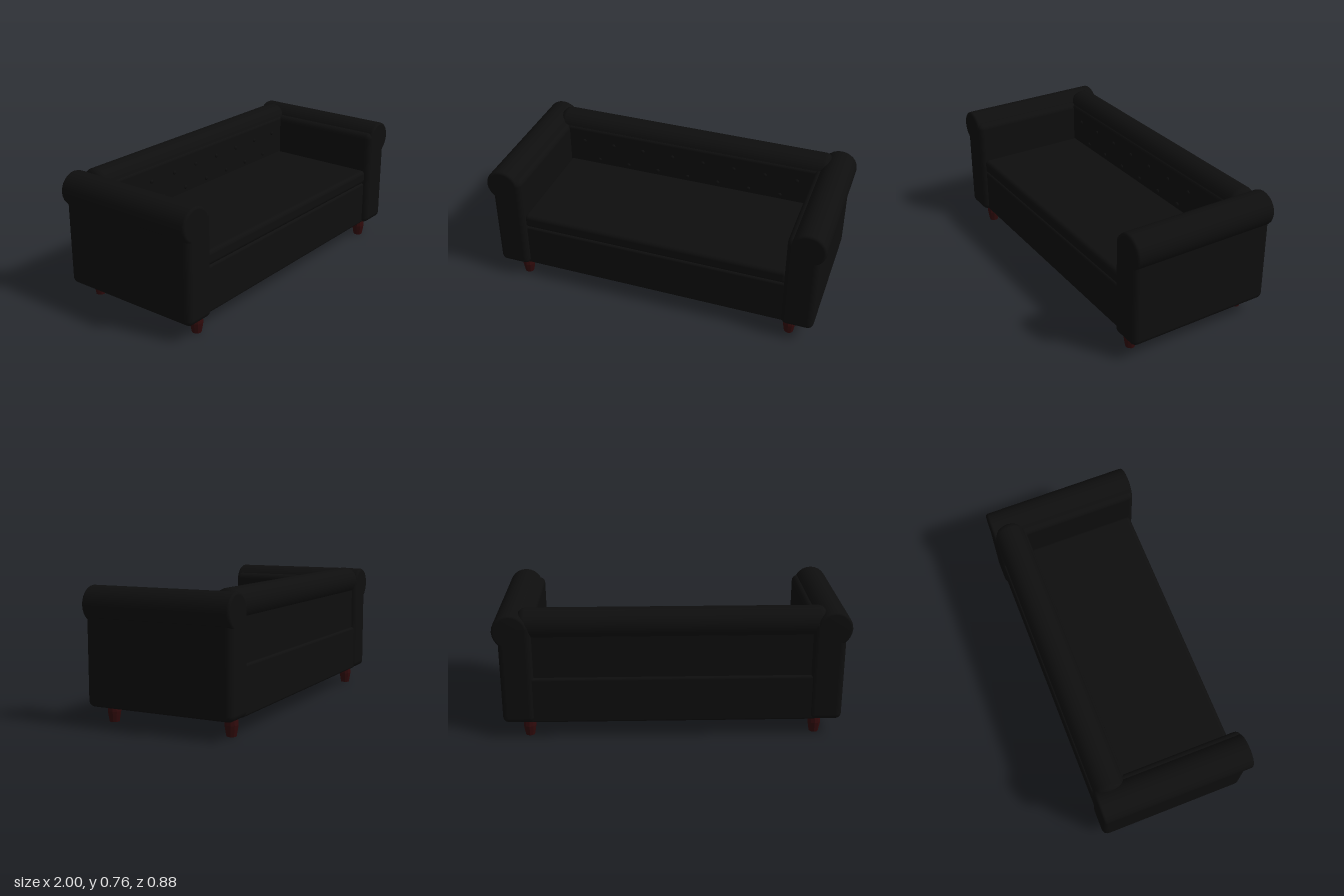
import * as THREE from 'three';
import { RoundedBoxGeometry } from 'three/addons/geometries/RoundedBoxGeometry.js';

export function createModel() {
  const sofa = new THREE.Group();
  sofa.name = 'sofa';
  const leather = new THREE.MeshStandardMaterial({ name: 'black leather', color: 0x0e0e0e });
  const wood = new THREE.MeshStandardMaterial({ name: 'dark red wood', color: 0x300a0b, flatShading: true });

  function add(name, geometry, material, x = 0, y = 0, z = 0) {
    const mesh = new THREE.Mesh(geometry, material);
    mesh.name = name;
    mesh.position.set(x, y, z);
    sofa.add(mesh);
    return mesh;
  }

  // Rounded box given by its minimum and maximum corners
  function pad(name, [x0, y0, z0], [x1, y1, z1], radius) {
    const g = new RoundedBoxGeometry(x1 - x0, y1 - y0, z1 - z0, 3, radius);
    return add(name, g, leather, (x0 + x1) / 2, (y0 + y1) / 2, (z0 + z1) / 2);
  }

  // Bolster: a cylinder with softened rims, turned about its own axis
  function bolster(radius, half, bevel, sides) {
    const pts = [new THREE.Vector2(0, -half)];
    for (const end of [-1, 1]) {
      for (let i = 0; i <= 3; i++) {
        const a = (end < 0 ? i : 3 - i) * Math.PI / 6;
        pts.push(new THREE.Vector2(
          radius - bevel + bevel * Math.sin(a),
          end * (half - bevel + bevel * Math.cos(a))));
      }
    }
    pts.push(new THREE.Vector2(0, half));
    return new THREE.LatheGeometry(pts, sides);
  }

  // Seat
  pad('base', [-0.82, 0.1, -0.43], [0.82, 0.375, 0.41], 0.015);
  pad('seatCushion', [-0.795, 0.375, -0.28], [0.795, 0.46, 0.415], 0.025);

  // Backrest with a rolled top
  pad('backrest', [-0.82, 0.35, -0.415], [0.82, 0.7, -0.25], 0.02);
  add('backRoll', bolster(0.09, 0.86, 0.04, 20), leather, 0, 0.675, -0.345).rotation.z = Math.PI / 2;

  // Two staggered rows of tufting buttons
  const button = new THREE.SphereGeometry(0.012, 10, 6);
  button.scale(1, 1, 0.6);
  for (const [count, y] of [[8, 0.61], [7, 0.49]]) {
    for (let i = 0; i < count; i++) {
      add('button', button, leather, (i - (count - 1) / 2) * 0.195, y, -0.248);
    }
  }

  // Arms with scrolled tops, and legs
  const armRoll = bolster(0.1, 0.44, 0.015, 24);
  const leg = new THREE.LatheGeometry([
    [0, 0], [0.027, 0], [0.034, 0.04], [0.037, 0.06], [0.033, 0.1], [0.033, 0.11], [0, 0.11],
  ].map(([r, y]) => new THREE.Vector2(r, y)), 10);

  for (const side of [1, -1]) {
    const inner = side * 0.782, outer = side * 0.97;
    pad('arm', [Math.min(inner, outer), 0.1, -0.44], [Math.max(inner, outer), 0.705, 0.44], 0.035);
    add('armRoll', armRoll, leather, side * 0.9, 0.655, 0).rotation.x = Math.PI / 2;
    for (const z of [0.362, -0.362]) add('leg', leg, wood, side * 0.825, 0, z);
  }
  return sofa;
}
